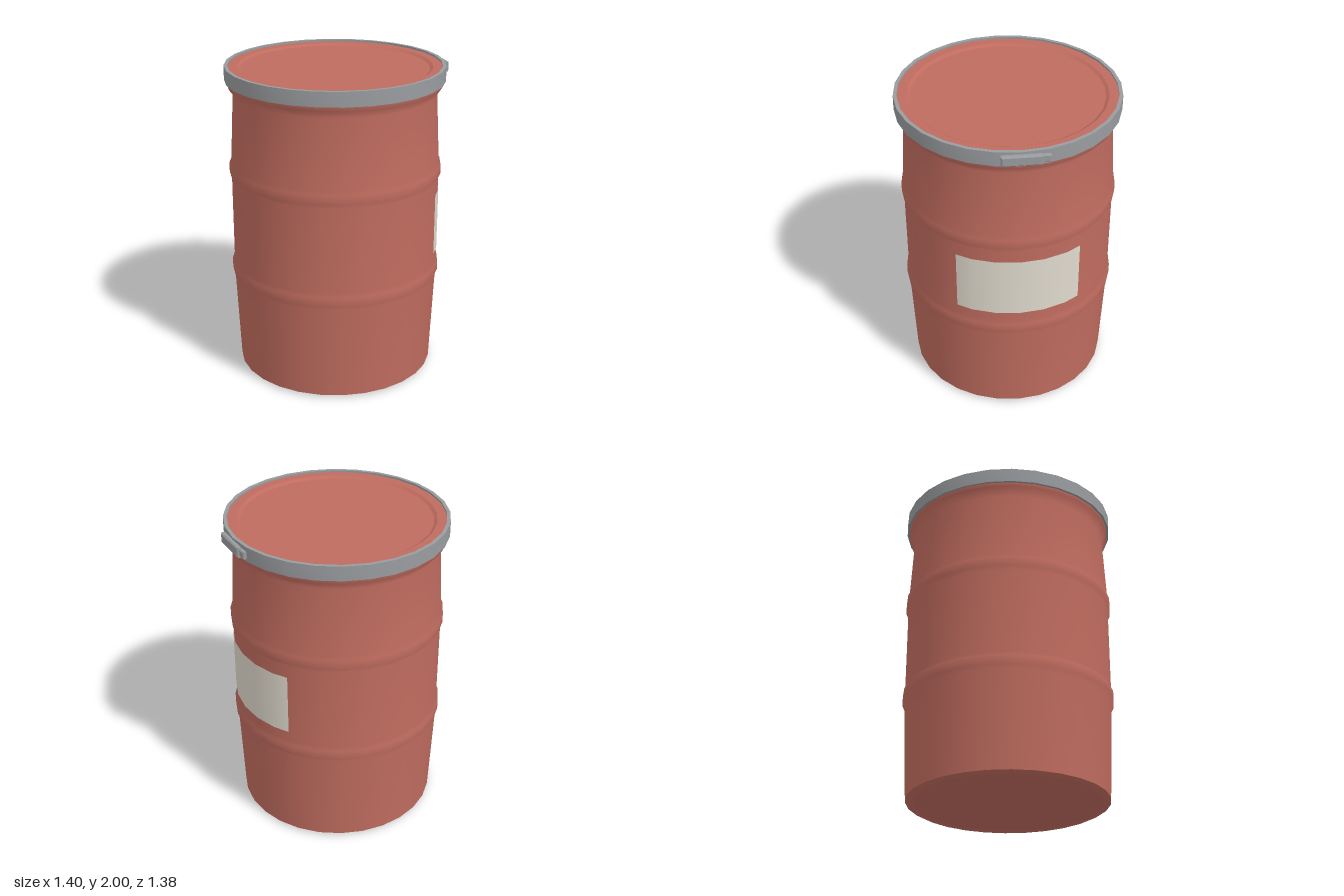
import * as THREE from 'three';
import { toCreasedNormals } from 'three/addons/utils/BufferGeometryUtils.js';

const SIDES = 28;

// Bevelled plate: width along z, height along y, depth along x
function plate(width, height, depth, bevel) {
  const w = width / 2 - bevel;
  const h = height / 2 - bevel;
  const shape = new THREE.Shape([
    new THREE.Vector2(-w, -h), new THREE.Vector2(w, -h),
    new THREE.Vector2(w, h), new THREE.Vector2(-w, h),
  ]);
  const geometry = new THREE.ExtrudeGeometry(shape, {
    depth: depth - 2 * bevel, bevelEnabled: true,
    bevelSize: bevel, bevelThickness: bevel, bevelSegments: 1,
  });
  return geometry.center().rotateY(Math.PI / 2);
}

export function createModel() {
  const red = new THREE.MeshStandardMaterial({ color: 0xc06c5f });
  red.name = 'redPaint';
  const steel = new THREE.MeshStandardMaterial({ color: 0x999c9f });
  steel.name = 'greySteel';
  const paper = new THREE.MeshStandardMaterial({ color: 0xe0dacd, side: THREE.DoubleSide });
  paper.name = 'creamLabel';

  const model = new THREE.Group();
  model.name = 'drum';
  const drum = new THREE.Group();
  drum.name = 'drumParts';
  drum.position.x = -0.012; // the latch sticks out on one side
  model.add(drum);

  const add = (name, geometry, material, x = 0, y = 0, z = 0) => {
    const mesh = new THREE.Mesh(geometry, material);
    mesh.name = name;
    mesh.position.set(x, y, z);
    drum.add(mesh);
  };
  const lathe = (profile) =>
    new THREE.LatheGeometry(profile.map(([r, y]) => new THREE.Vector2(r, y)), SIDES);

  // Smooth barrel wall with two rolling hoops and a flared neck
  const hoop = (y) => [
    [0.66, y - 0.055], [0.673, y - 0.03], [0.673, y + 0.03], [0.66, y + 0.055],
  ];
  add('body', lathe([
    [0.633, 0.015], ...hoop(0.68), ...hoop(1.34),
    [0.637, 1.83], [0.673, 1.88], [0.673, 1.92],
  ]), red);

  // Chamfered bottom rim around a slightly sunken plate
  add('bottom', toCreasedNormals(lathe([
    [0, 0.012], [0.585, 0.012], [0.605, 0], [0.633, 0.015],
  ]), 0.3), red);

  // Lid with a stepped, slightly sunken centre
  add('lid', toCreasedNormals(lathe([
    [0.668, 1.988], [0.608, 1.988], [0.588, 1.976], [0, 1.976],
  ]), 0.3), red);

  // Clamping ring
  add('clampRing', toCreasedNormals(lathe([
    [0.66, 1.908], [0.688, 1.908], [0.688, 2.0], [0.666, 2.0], [0.666, 1.98],
  ]), 0.6), steel);

  // Latch: wide lever over a smaller catch
  add('latchLever', plate(0.235, 0.065, 0.034, 0.008), steel, 0.695, 1.954, 0.003);
  add('latchCatch', plate(0.12, 0.046, 0.026, 0.006), steel, 0.685, 1.955, -0.106);

  // Label wrapped on the wall facets, its outer facets trimmed to width
  const step = (Math.PI * 2) / SIDES;
  const labelRadius = 0.664;
  const halfWidth = 0.378;
  const label = new THREE.CylinderGeometry(
    labelRadius, labelRadius, 0.4, 6, 1, true, Math.PI / 2 - 3 * step, 6 * step);
  const p = label.attributes.position;
  const inner = [labelRadius * Math.cos(2 * step), labelRadius * Math.sin(2 * step)];
  const outer = [labelRadius * Math.cos(3 * step), labelRadius * Math.sin(3 * step)];
  const t = (halfWidth - inner[1]) / (outer[1] - inner[1]);
  for (let i = 0; i < p.count; i++) {
    if (Math.abs(p.getZ(i)) > halfWidth) {
      p.setX(i, THREE.MathUtils.lerp(inner[0], outer[0], t));
      p.setZ(i, Math.sign(p.getZ(i)) * halfWidth);
    }
  }
  add('label', label, paper, 0, 1.0, 0);

  return model;
}
